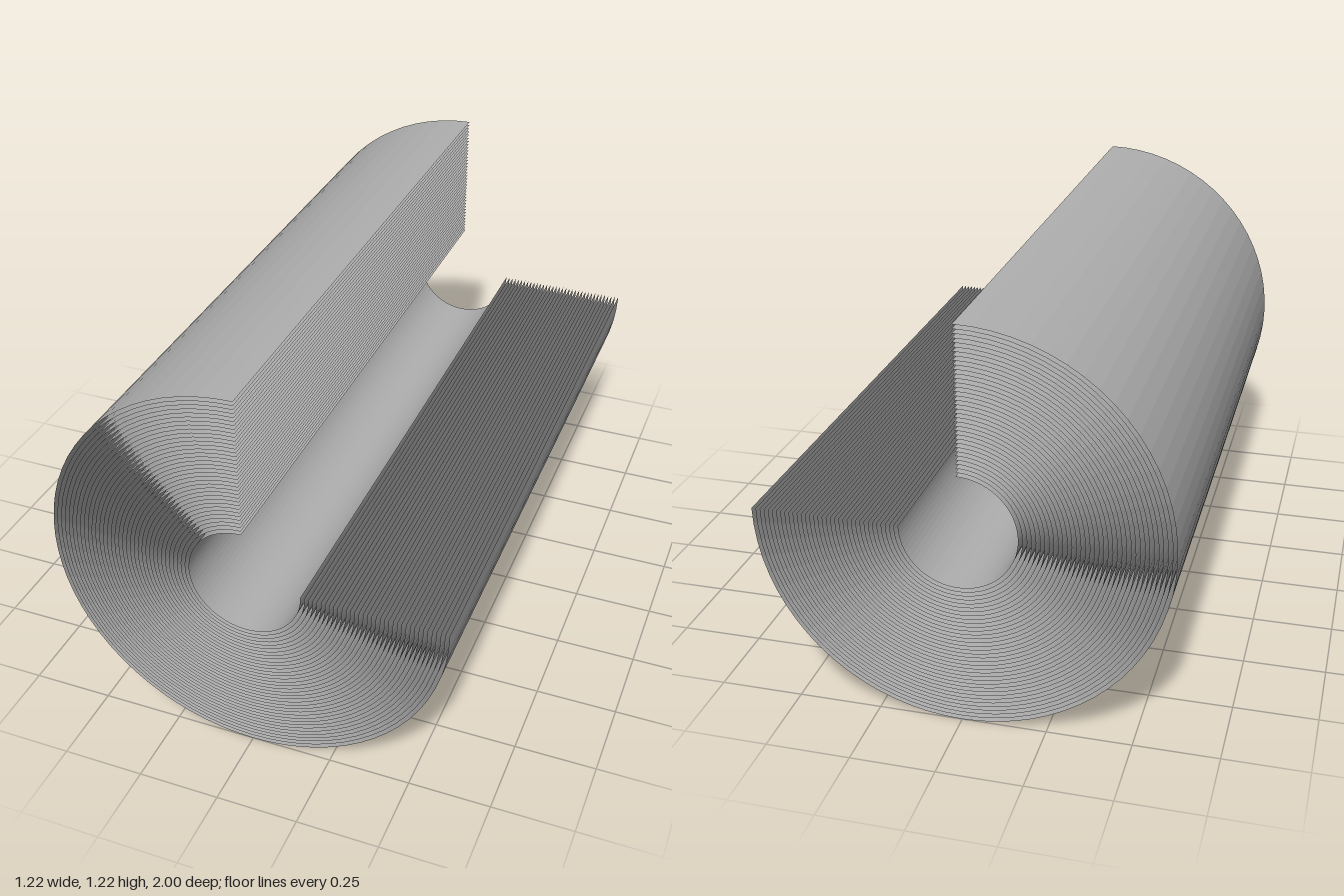
import * as THREE from 'three';

export function createModel() {
  const model = new THREE.Group();
  model.name = 'layeredRoll';

  const grey = new THREE.MeshStandardMaterial({ color: 0xb0b0b0, flatShading: true, side: THREE.DoubleSide });
  grey.name = 'sheet grey';

  const innerRadius = 0.172, outerRadius = 0.608, length = 2;
  const layers = 36, segments = 54;

  // Nested open sheets, each three quarters of a turn, leaving the upper +x quarter cut away
  for (let i = 0; i < layers; i++) {
    const radius = THREE.MathUtils.lerp(innerRadius, outerRadius, i / (layers - 1));
    const geometry = new THREE.CylinderGeometry(radius, radius, length, segments, 1, true, Math.PI, Math.PI * 1.5);
    geometry.rotateX(Math.PI / 2);
    const sheet = new THREE.Mesh(geometry, grey);
    sheet.name = `sheetLayer${i + 1}`;
    sheet.position.y = outerRadius;
    model.add(sheet);
  }
  return model;
}
